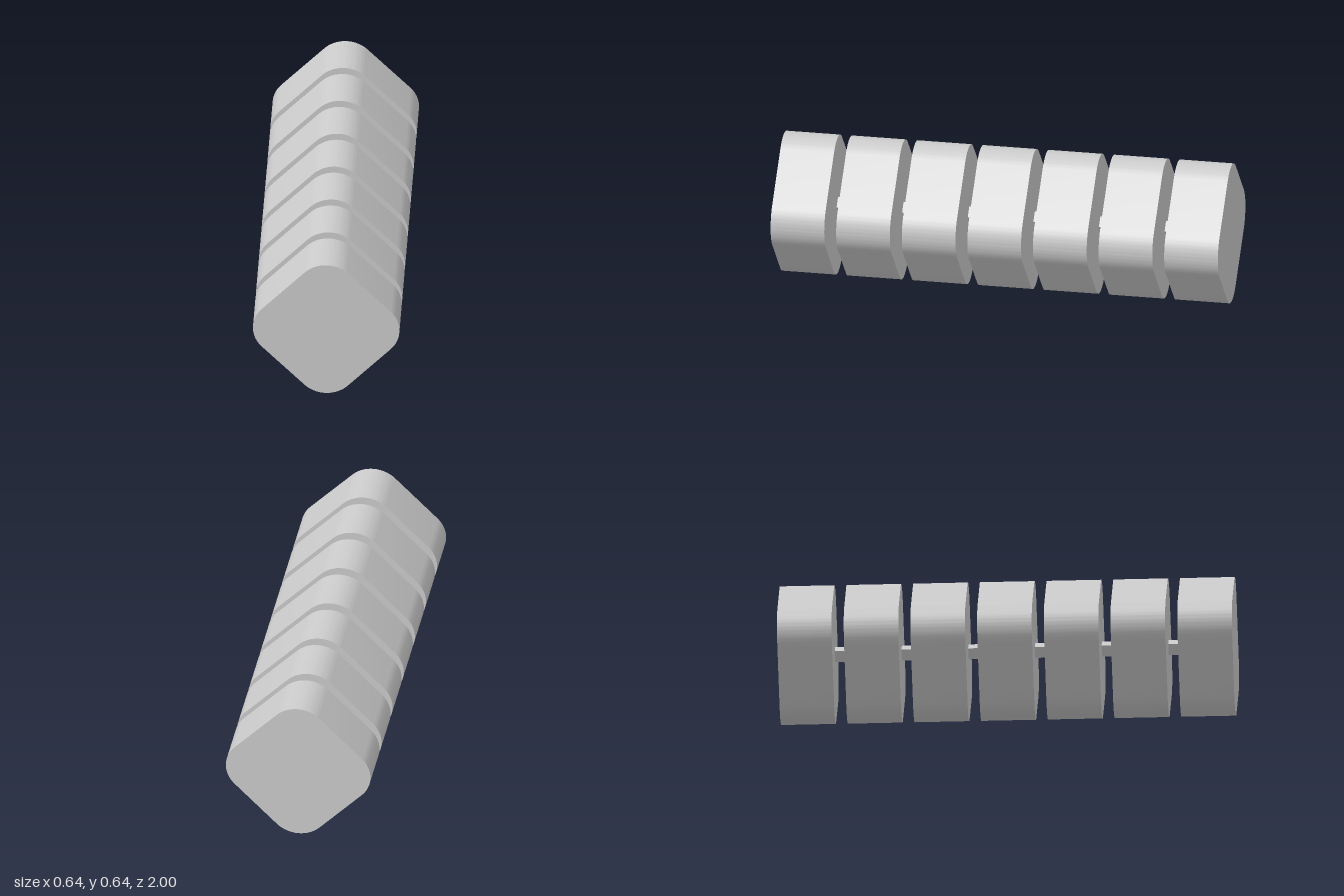
import * as THREE from 'three';
import { toCreasedNormals } from 'three/addons/utils/BufferGeometryUtils.js';

const HALF = 0.322;       // centre to rounded tip of a block
const RADIUS = 0.135;     // rounding of the block corners
const THICKNESS = 0.24;
const COUNT = 7;
const PITCH = (2 - THICKNESS) / (COUNT - 1);

// Square standing on a rounded corner: four quarter arcs joined by straight sides
function diamondShape() {
  const shape = new THREE.Shape();
  const c = HALF - RADIUS;
  for (let i = 0; i < 4; i++) {
    const a = i * Math.PI / 2;
    shape.absarc(c * Math.cos(a), c * Math.sin(a), RADIUS, a - Math.PI / 4, a + Math.PI / 4, false);
  }
  shape.closePath();
  return shape;
}

export function createModel() {
  const group = new THREE.Group();
  group.name = 'segmentedBar';
  const material = new THREE.MeshStandardMaterial({ color: 0xcccccc });

  // Row of identical rounded blocks
  let blockGeometry = new THREE.ExtrudeGeometry(diamondShape(), {
    depth: THICKNESS, bevelEnabled: false, curveSegments: 16,
  });
  blockGeometry.translate(0, 0, -THICKNESS / 2);
  blockGeometry = toCreasedNormals(blockGeometry, 0.5);
  for (let i = 0; i < COUNT; i++) {
    const block = new THREE.Mesh(blockGeometry, material);
    block.name = `block${i + 1}`;
    block.position.set(0, HALF, (i - (COUNT - 1) / 2) * PITCH);
    group.add(block);
  }

  // Thin square rod on edge, running through the blocks
  const side = 0.036 * Math.SQRT2;
  const rod = new THREE.Mesh(new THREE.BoxGeometry(side, side, 2 - THICKNESS), material);
  rod.name = 'connectingRod';
  rod.rotation.z = Math.PI / 4;
  rod.position.y = HALF;
  group.add(rod);

  return group;
}
